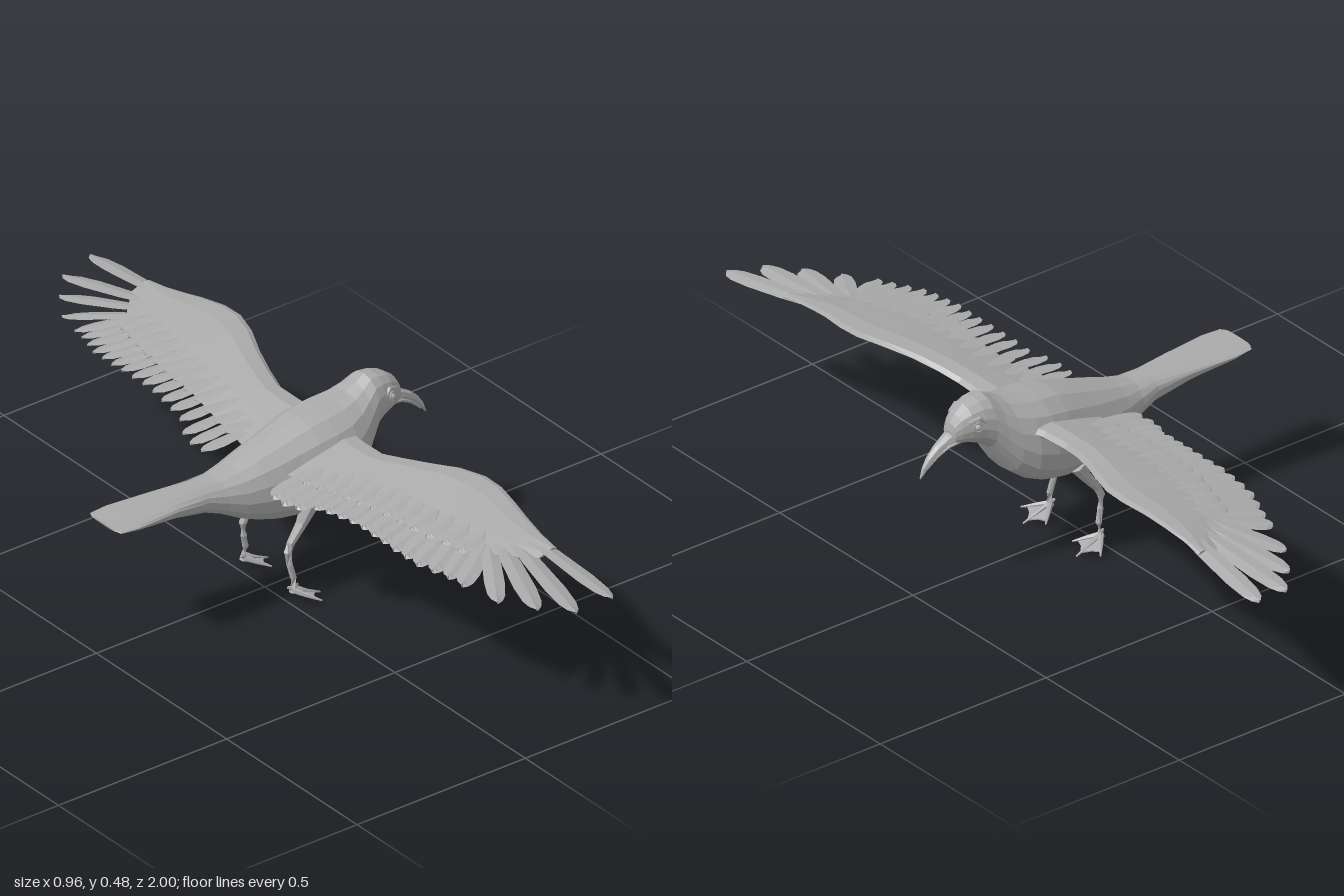
import * as THREE from 'three';

const grey = new THREE.MeshStandardMaterial({ color: 0xaaaaaa });
grey.name = 'plumage grey';

const V = (x, y, z) => new THREE.Vector3(x, y, z);

// Piecewise linear lookup in rows of [key, value]
function lookup(rows, k) {
  if (k <= rows[0][0]) return rows[0][1];
  for (let i = 1; i < rows.length; i++) {
    const [a, va] = rows[i - 1], [b, vb] = rows[i];
    if (k <= b) return va + (vb - va) * (k - a) / (b - a);
  }
  return rows[rows.length - 1][1];
}

// Closed, faceted solid through rings of equal point count
function loft(name, rings) {
  const n = rings[0].length, tris = [];
  for (let i = 0; i < rings.length - 1; i++) {
    for (let j = 0; j < n; j++) {
      const k = (j + 1) % n, a = rings[i], b = rings[i + 1];
      tris.push([a[j], b[j], b[k]], [a[j], b[k], a[k]]);
    }
  }
  const first = rings[0], last = rings[rings.length - 1];
  for (let j = 1; j < n - 1; j++) {
    tris.push([first[0], first[j], first[j + 1]], [last[0], last[j + 1], last[j]]);
  }
  // Turn the faces outward whichever way the rings run
  const origin = first[0];
  let volume = 0;
  for (const t of tris) {
    const [a, b, c] = t.map(p => p.clone().sub(origin));
    volume += a.dot(b.cross(c));
  }
  const pts = tris.flatMap(t => (volume < 0 ? [t[0], t[2], t[1]] : t));
  const geo = new THREE.BufferGeometry().setFromPoints(pts);
  geo.computeVertexNormals();
  const mesh = new THREE.Mesh(geo, grey);
  mesh.name = name;
  return mesh;
}

// Rounded ring across x; the widest level sits at fraction f of the height
function bodyRing(x, top, bottom, half, f = 0.45, n = 16) {
  const mid = bottom + (top - bottom) * f, ring = [];
  for (let j = 0; j < n; j++) {
    const a = j / n * Math.PI * 2, c = Math.cos(a), s = Math.sin(a);
    const y = c > 0 ? mid + (top - mid) * c : mid + (mid - bottom) * Math.sign(c) * Math.abs(c) ** 0.85;
    ring.push(V(x, y, half * Math.sign(s) * Math.abs(s) ** 0.9));
  }
  return ring;
}

// Round limb through [x, y, z, radius] stations
function limb(name, stations, n = 7) {
  const p = stations.map(s => V(s[0], s[1], s[2]));
  return loft(name, stations.map((s, i) => {
    const dir = p[Math.min(i + 1, p.length - 1)].clone().sub(p[Math.max(i - 1, 0)]).normalize();
    const q = new THREE.Quaternion().setFromUnitVectors(V(0, 1, 0), dir);
    return Array.from({ length: n }, (_, j) => {
      const a = j / n * Math.PI * 2;
      return V(Math.cos(a) * s[3], 0, Math.sin(a) * s[3]).applyQuaternion(q).add(p[i]);
    });
  }));
}

// Thin ridged feather from base to tip
function feather(base, tip, width, roll) {
  const along = tip.clone().sub(base);
  const side = V(-along.z, 0, along.x).normalize();
  const shape = [[0, 0.55], [0.35, 0.9], [0.7, 1], [0.88, 0.85], [0.96, 0.55], [1, 0.12]];
  return loft('feather', shape.map(([t, w]) => {
    const c = base.clone().addScaledVector(along, t), h = width * w / 2;
    return [
      c.clone().addScaledVector(side, h).add(V(0, roll, 0)), c.clone().add(V(0, 0.004, 0)),
      c.clone().addScaledVector(side, -h).add(V(0, -roll, 0)), c.clone().add(V(0, -0.003, 0)),
    ];
  }));
}

// Wing outline by distance from the middle
const leadX = [[0.05, 0.22], [0.12, 0.205], [0.2, 0.203], [0.3, 0.228], [0.4, 0.272], [0.47, 0.293], [0.53, 0.294], [0.6, 0.282], [0.7, 0.266], [0.8, 0.264]];
const trailX = [[0.05, 0.0], [0.2, 0.02], [0.5, 0.05], [0.65, 0.09], [0.72, 0.15], [0.78, 0.21]];
const leadY = [[0.05, 0.375], [0.2, 0.38], [0.3, 0.4], [0.4, 0.415], [0.5, 0.418], [0.6, 0.408], [0.7, 0.39], [0.8, 0.372], [1, 0.345]];
const tipX = [[0.14, -0.082], [0.2, -0.085], [0.25, -0.052], [0.4, -0.036], [0.52, -0.038], [0.62, -0.03], [0.7, 0.0], [0.76, 0.015]];
const wingY = (x, z) => lookup(leadY, z) - 0.16 * Math.max(0, lookup(leadX, z) - x);

function makeWing(s) {
  const wing = new THREE.Group();
  wing.name = s > 0 ? 'rightWing' : 'leftWing';
  // Thick front part of the wing, as [chord fraction, height] around the section
  const foil = [[0, 0], [0.06, 0.5], [0.25, 0.9], [0.6, 0.6], [1, 0.08], [1, -0.08], [0.6, -0.2], [0.25, -0.55], [0.06, -0.4]];
  const zs = [0.05, 0.12, 0.2, 0.26, 0.33, 0.4, 0.47, 0.53, 0.6, 0.66, 0.72, 0.78];
  wing.add(loft('wingArm', zs.map(z => {
    const a = lookup(leadX, z), b = lookup(trailX, z), thick = 0.026 - 0.022 * z;
    return foil.map(([t, h]) => {
      const x = a + (b - a) * t;
      return V(x, wingY(x, z) + h * thick, s * z);
    });
  })));
  // Trailing flight feathers, sweeping outward towards the tip
  for (let i = 0; i < 16; i++) {
    const z = 0.135 + i * 0.0405, x = lookup(tipX, z);
    const bz = z - 0.01 - 0.075 * (i / 15) ** 2, bx = lookup(trailX, bz) + 0.06;
    wing.add(feather(V(bx, wingY(bx, bz), s * bz), V(x, wingY(x, z) + 0.006, s * z), 0.05, s * 0.004));
  }
  // Long fingers of the wing tip: base x, base z, tip x, tip z, width
  const fingers = [[0.16, 0.65, 0.045, 0.835, 0.05], [0.18, 0.66, 0.1, 0.915, 0.055], [0.205, 0.67, 0.163, 0.983, 0.055], [0.237, 0.68, 0.258, 1, 0.052]];
  for (const [bx, bz, x, z, w] of fingers) {
    wing.add(feather(V(bx, wingY(bx, bz), s * bz), V(x, wingY(x, z), s * z), w, s * 0.003));
  }
  // Short covert feathers layered over the inner wing
  for (let i = 0; i < 12; i++) {
    const z = 0.15 + i * 0.045, x = lookup(trailX, z) - 0.015;
    wing.add(feather(V(x + 0.09, wingY(x + 0.09, z) + 0.006, s * (z - 0.01)), V(x, wingY(x, z) + 0.008, s * z), 0.05, s * 0.003));
  }
  return wing;
}

function makeLeg(s) {
  const leg = new THREE.Group();
  leg.name = s > 0 ? 'rightLeg' : 'leftLeg';
  leg.add(limb('shank', [[0.07, 0.235, s * 0.08, 0.022], [0.045, 0.195, s * 0.083, 0.014], [0.012, 0.155, s * 0.085, 0.01],
    [0.002, 0.135, s * 0.086, 0.01], [0.006, 0.1, s * 0.088, 0.008], [0.014, 0.065, s * 0.092, 0.008], [0.012, 0.028, s * 0.095, 0.011]]));
  // Three front toes, a hind toe and the web between
  const tips = [[0.06, 0.012, s * 0.05], [0.088, 0.003, s * 0.1], [0.055, 0.014, s * 0.15]];
  for (const [x, y, z] of tips) {
    leg.add(limb('toe', [[0.01, 0.033, s * 0.095, 0.008], [(x + 0.01) / 2, (y + 0.033) / 2, (z + s * 0.095) / 2, 0.006], [x, y, z, 0.002]], 6));
  }
  leg.add(limb('hindToe', [[0.014, 0.035, s * 0.095, 0.008], [-0.001, 0.042, s * 0.09, 0.003]], 6));
  const webPoints = [V(0.01, 0.031, s * 0.095), V(0.05, 0.014, s * 0.058), V(0.058, 0.013, s * 0.08),
    V(0.075, 0.008, s * 0.099), V(0.055, 0.014, s * 0.118), V(0.045, 0.017, s * 0.138)];
  leg.add(loft('web', [0.0015, -0.0015].map(d => webPoints.map(p => p.clone().add(V(0, d, 0))))));
  return leg;
}

export function createModel() {
  const bird = new THREE.Group();
  bird.name = 'bird';

  // Tail, trunk, neck and head: x, top, bottom, half width, widest level
  const body = [[-0.48, 0.351, 0.345, 0.045], [-0.472, 0.351, 0.341, 0.061], [-0.42, 0.352, 0.328, 0.066, 0.7], [-0.3, 0.354, 0.307, 0.056, 0.7],
    [-0.2, 0.355, 0.284, 0.051, 0.6], [-0.15, 0.357, 0.264, 0.06, 0.5], [-0.1, 0.369, 0.236, 0.074], [-0.05, 0.385, 0.215, 0.086],
    [0, 0.4, 0.2, 0.096], [0.05, 0.416, 0.193, 0.104], [0.1, 0.431, 0.194, 0.113], [0.15, 0.439, 0.204, 0.118],
    [0.2, 0.443, 0.226, 0.112], [0.24, 0.45, 0.258, 0.094], [0.27, 0.463, 0.3, 0.077], [0.295, 0.478, 0.338, 0.065],
    [0.32, 0.476, 0.357, 0.057], [0.35, 0.466, 0.368, 0.047], [0.375, 0.448, 0.373, 0.034], [0.388, 0.428, 0.376, 0.024], [0.393, 0.41, 0.38, 0.015]];
  bird.add(loft('body', body.map(r => bodyRing(...r))));

  // Hooked beak in two halves: x, top, bottom, half width
  const upper = [[0.365, 0.415, 0.385, 0.028], [0.4, 0.4, 0.376, 0.019], [0.43, 0.382, 0.358, 0.014], [0.455, 0.359, 0.336, 0.01], [0.47, 0.337, 0.316, 0.006], [0.478, 0.314, 0.307, 0.002]];
  const lower = [[0.365, 0.387, 0.371, 0.024], [0.4, 0.377, 0.364, 0.015], [0.43, 0.36, 0.348, 0.01], [0.452, 0.339, 0.33, 0.006], [0.464, 0.324, 0.319, 0.002]];
  bird.add(loft('upperBeak', upper.map(r => bodyRing(...r, 0.3, 8))));
  bird.add(loft('lowerBeak', lower.map(r => bodyRing(...r, 0.7, 8))));

  for (const s of [1, -1]) {
    bird.add(makeWing(s), makeLeg(s));
    // Eye with its lid and brow
    const eye = new THREE.Group();
    eye.name = 'eye';
    const ball = new THREE.Mesh(new THREE.SphereGeometry(0.008, 10, 8), grey);
    ball.name = 'eyeball';
    const lid = new THREE.Mesh(new THREE.TorusGeometry(0.01, 0.0025, 6, 14), grey);
    lid.name = 'eyelid';
    lid.scale.y = 1.2;
    eye.add(ball, lid);
    eye.position.set(0.342, 0.42, s * 0.049);
    eye.rotation.y = s > 0 ? 0.35 : Math.PI - 0.35;
    bird.add(eye);
    bird.add(limb('brow', [[0.318, 0.425, s * 0.053, 0.003], [0.335, 0.441, s * 0.046, 0.006], [0.362, 0.432, s * 0.037, 0.003]], 6));
  }
  return bird;
}
